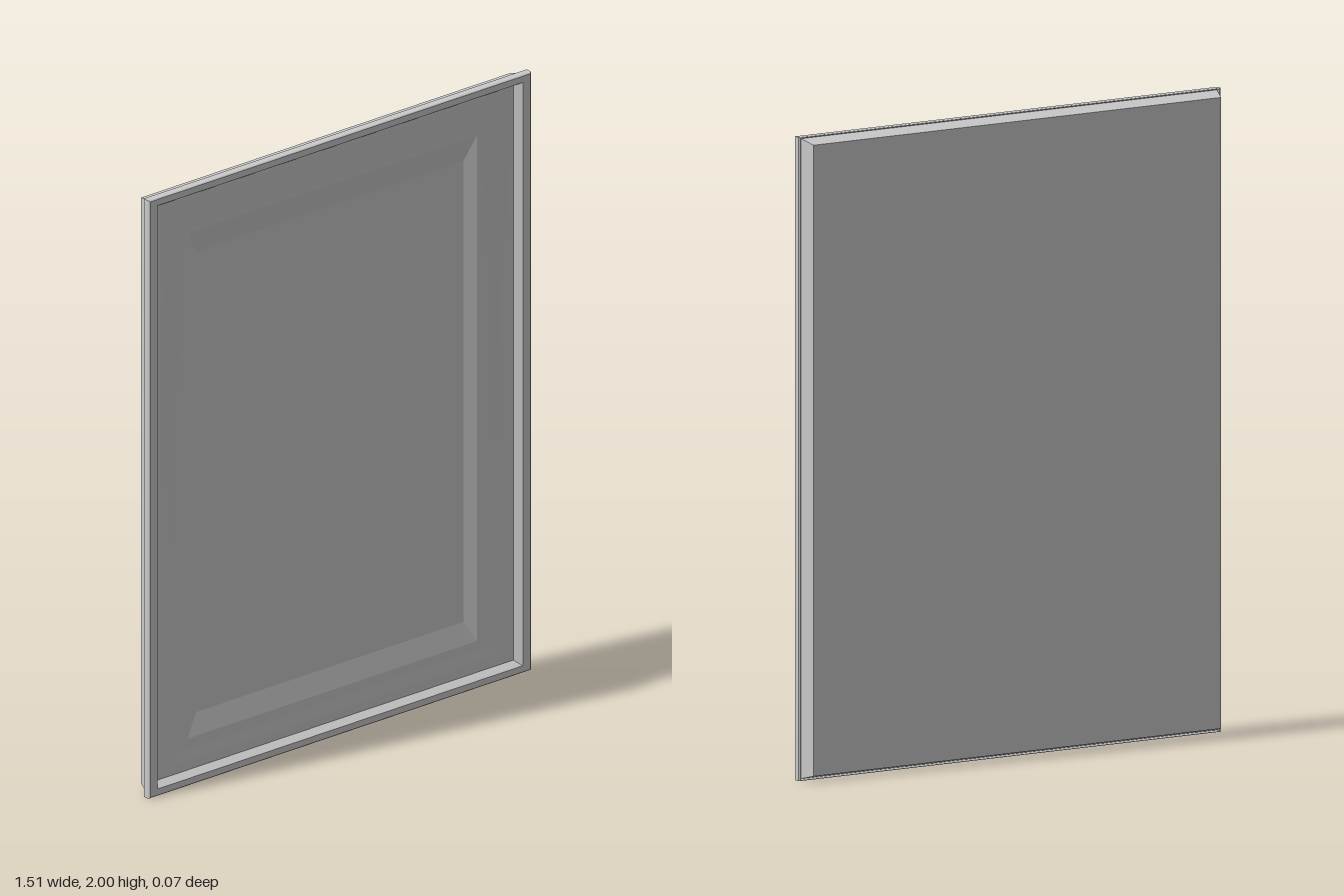
import * as THREE from 'three';
import { toCreasedNormals } from 'three/addons/utils/BufferGeometryUtils.js';

const HALF_W = 0.755;
const HEIGHT = 2;

// A rectangular ring, inset from the outer edges, at depth z
const ring = (z, l, r = l, t = l, b = t) => ({ z, l, r, t, b });

const corners = ({ z, l, r, t, b }) => [
  [-HALF_W + l, b, z], [HALF_W - r, b, z],
  [HALF_W - r, HEIGHT - t, z], [-HALF_W + l, HEIGHT - t, z],
];

// Skin between successive rings, ordered from back around the edge to the front
function loft(rings) {
  const pos = [];
  for (let k = 0; k < rings.length - 1; k++) {
    const a = corners(rings[k]), b = corners(rings[k + 1]);
    for (let i = 0; i < 4; i++) {
      const j = (i + 1) % 4;
      pos.push(...a[i], ...a[j], ...b[j], ...a[i], ...b[j], ...b[i]);
    }
  }
  return toGeometry(pos);
}

// Flat rectangle filling a ring
function fill(r, facesBack) {
  const c = corners(r);
  const order = facesBack ? [0, 2, 1, 0, 3, 2] : [0, 1, 2, 0, 2, 3];
  return toGeometry(order.flatMap((i) => c[i]));
}

function toGeometry(pos) {
  const g = new THREE.BufferGeometry();
  g.setAttribute('position', new THREE.Float32BufferAttribute(pos, 3));
  return toCreasedNormals(g, 0.13);
}

// Ring part-way between two others, with its own easing for depth
function blend(a, b, t) {
  const mix = (k, s) => THREE.MathUtils.lerp(a[k], b[k], s);
  const ease = t * t * (3 - 2 * t);
  return ring(mix('z', ease), mix('l', t), mix('r', t), mix('t', t), mix('b', t));
}

export function createModel() {
  const group = new THREE.Group();
  const material = new THREE.MeshStandardMaterial({ color: 0xcccccc, side: THREE.DoubleSide });
  const add = (name, geometry) => {
    const mesh = new THREE.Mesh(geometry, material);
    mesh.name = name;
    group.add(mesh);
  };

  const back = ring(-0.037, 0.027, 0.027, 0.02);
  const notch = ring(0.011, 0.012, 0.012, 0.006);
  const rimInner = ring(0.033, 0.034, 0.036, 0.025);
  const ledge = ring(0.008, 0.05, 0.053, 0.04);
  const bevelOuter = ring(0, 0.18, 0.19, 0.17, 0.14);
  const bevelInner = ring(-0.016, 0.225, 0.23, 0.25, 0.21);

  // Back sheet and its tapered edges
  add('backPanel', fill(back, true));
  add('taperedEdge', loft([back, notch]));

  // Raised outer rim with a small hooked lip
  add('rim', loft([
    notch, ring(0.005, 0.006, 0.006, 0.002), ring(0.008, 0.001, 0.001, 0),
    ring(0.013, 0), ring(0.025, 0), ring(0.03, 0.002, 0.002, 0.001),
    ring(0.033, 0.006, 0.006, 0.004), rimInner,
  ]));
  add('rimStep', loft([rimInner, ledge]));

  // Soft S-curved moulding, then a straight bevel down to the panel
  const curve = [];
  for (let i = 0; i <= 10; i++) curve.push(blend(ledge, bevelOuter, i / 10));
  add('moulding', loft(curve));
  add('bevel', loft([bevelOuter, bevelInner]));
  add('centrePanel', fill(bevelInner, false));

  return group;
}
